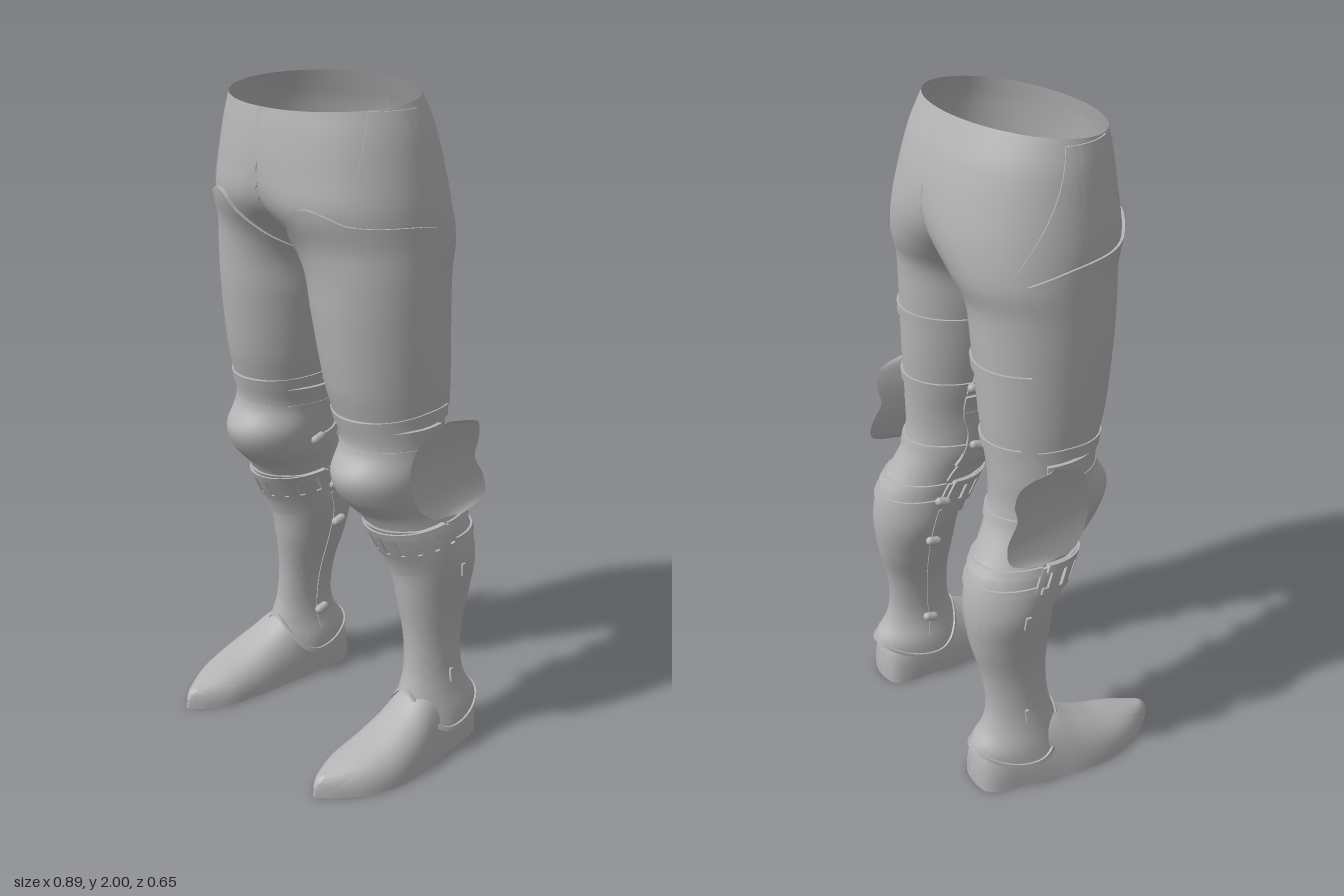
import * as THREE from 'three';
import { toCreasedNormals } from 'three/addons/utils/BufferGeometryUtils.js';

const RAD = Math.PI / 180;
const steel = new THREE.MeshStandardMaterial({ color: 0xb4b4b4, side: THREE.DoubleSide });
steel.name = 'plain steel';

// Smooth lookup in rows sorted by their first column, returning column c
function look(rows, t, c = 1) {
  const n = rows.length - 1;
  if (t <= rows[0][0]) return rows[0][c];
  if (t >= rows[n][0]) return rows[n][c];
  let i = 0;
  while (t > rows[i + 1][0]) i++;
  const slope = (k) => {
    const a = rows[Math.max(k - 1, 0)], b = rows[Math.min(k + 1, n)];
    return (b[c] - a[c]) / (b[0] - a[0]);
  };
  const h = rows[i + 1][0] - rows[i][0], s = (t - rows[i][0]) / h, s2 = s * s, s3 = s2 * s;
  return (2 * s3 - 3 * s2 + 1) * rows[i][c] + (s3 - 2 * s2 + s) * h * slope(i)
    + (3 * s2 - 2 * s3) * rows[i + 1][c] + (s3 - s2) * h * slope(i + 1);
}

// One half of the body: height, inner x, outer x, front z, back z
const BODY = [
  [0.08, 0.205, 0.42, 0.02, -0.305], [0.14, 0.212, 0.408, -0.012, -0.315],
  [0.2, 0.23, 0.39, -0.037, -0.277], [0.27, 0.237, 0.375, -0.056, -0.26],
  [0.38, 0.225, 0.368, -0.06, -0.268], [0.5, 0.192, 0.38, -0.045, -0.298],
  [0.62, 0.16, 0.4, -0.025, -0.31], [0.73, 0.152, 0.392, 0.03, -0.29],
  [0.81, 0.14, 0.375, 0.07, -0.245], [0.87, 0.122, 0.372, 0.125, -0.215],
  [0.94, 0.113, 0.374, 0.15, -0.2], [1.02, 0.11, 0.372, 0.11, -0.2],
  [1.1, 0.092, 0.37, 0.122, -0.205], [1.2, 0.07, 0.374, 0.148, -0.212],
  [1.4, 0.033, 0.378, 0.175, -0.22], [1.52, 0.006, 0.378, 0.185, -0.228],
  [1.6, -0.06, 0.377, 0.2, -0.255], [1.7, -0.2, 0.373, 0.248, -0.272],
  [1.8, -0.3, 0.36, 0.253, -0.265], [1.9, -0.33, 0.343, 0.243, -0.24],
  [1.96, -0.325, 0.325, 0.232, -0.215], [2.0, -0.31, 0.31, 0.228, -0.197],
];

// Point on the body; a = 0 faces front and a = 90 degrees faces outward
function onBody(y, a, off = 0) {
  const [xi, xo, zf, zb] = [1, 2, 3, 4].map((c) => look(BODY, y, c));
  const x = (xi + xo) / 2 + ((xo - xi) / 2 + off) * Math.sin(a * RAD);
  const z = (zf + zb) / 2 + ((zf - zb) / 2 + off) * Math.cos(a * RAD);
  return new THREE.Vector3(Math.max(x, 0), y, z);
}

// Grid surface from fn(u, v); triangles lying in the middle plane are left out
function grid(name, nu, nv, fn) {
  const pos = [], idx = [];
  for (let j = 0; j <= nv; j++)
    for (let i = 0; i <= nu; i++) pos.push(...fn(i / nu, j / nv, i, j).toArray());
  const tri = (...t) => { if (t.some((k) => pos[k * 3] > 1e-6)) idx.push(...t); };
  for (let j = 0; j < nv; j++)
    for (let i = 0; i < nu; i++) {
      const a = j * (nu + 1) + i, b = a + nu + 1;
      tri(a, b, a + 1);
      tri(b, b + 1, a + 1);
    }
  const g = new THREE.BufferGeometry();
  g.setAttribute('position', new THREE.Float32BufferAttribute(pos, 3));
  g.setIndex(idx);
  const mesh = new THREE.Mesh(toCreasedNormals(g, 40 * RAD), steel);
  mesh.name = name;
  return mesh;
}

const val = (f, t) => (typeof f === 'function' ? f(t) : f);

// Plate lying on the body, with its rim turned in to the surface
function plate(name, a0, a1, top, bottom, off, nu = 32, nv = 10) {
  return grid(name, nu + 2, nv + 2, (_, __, i, j) => {
    const u = THREE.MathUtils.clamp((i - 1) / nu, 0, 1), v = THREE.MathUtils.clamp((j - 1) / nv, 0, 1);
    const rim = i === 0 || j === 0 || i === nu + 2 || j === nv + 2;
    const a = THREE.MathUtils.lerp(val(a0, v), val(a1, v), u);
    return onBody(THREE.MathUtils.lerp(val(top, a), val(bottom, a), v), a, rim ? 0 : off);
  });
}

// Shoe sections: z, inner x, outer x, height
const FOOT = [
  [-0.31, 0.285, 0.325, 0.05], [-0.3, 0.245, 0.36, 0.12], [-0.26, 0.222, 0.385, 0.16],
  [-0.18, 0.217, 0.4, 0.2], [-0.08, 0.218, 0.42, 0.21], [0, 0.222, 0.438, 0.165],
  [0.1, 0.226, 0.442, 0.12], [0.2, 0.238, 0.415, 0.09], [0.28, 0.272, 0.365, 0.066],
  [0.31, 0.295, 0.338, 0.055], [0.325, 0.31, 0.322, 0.03],
];

function foot() {
  const g = new THREE.Group();
  g.name = 'foot';
  const at = (v, fx, fy) => {
    const z = -0.31 + 0.635 * v, x0 = look(FOOT, z, 1), x1 = look(FOOT, z, 2);
    return new THREE.Vector3((x0 + x1) / 2 + fx * (x1 - x0) / 2, Math.max(fy * look(FOOT, z, 3), 0), z);
  };
  const end = (v) => 0.5 - 0.5 * Math.cos(Math.PI * v);
  g.add(grid('shoe', 24, 40, (u, v) => {
    const t = Math.PI * u, c = Math.cos(t);
    return at(end(v), Math.sign(c) * Math.abs(c) ** 0.8, Math.sin(t) ** 0.8);
  }));
  g.add(grid('sole', 4, 40, (u, v) => at(end(v), 2 * u - 1, 0)));
  for (const v of [0, 1])
    g.add(grid(v ? 'toeCap' : 'heelCap', 12, 1, (u, w) => {
      const t = Math.PI * u;
      return at(v, Math.cos(t), Math.sin(t) * w);
    }));
  return g;
}

function buckle(y, a) {
  const m = new THREE.Mesh(new THREE.CapsuleGeometry(0.014, 0.025, 4, 10), steel);
  m.name = 'buckle';
  m.position.copy(onBody(y, a, 0.018));
  m.rotation.set(0, a * RAD, Math.PI / 2.4);
  return m;
}

function half() {
  const g = new THREE.Group();
  const c2 = (a) => Math.cos(a * RAD) ** 2;
  const front = (a) => Math.max(Math.cos(a * RAD), 0);

  // Hollow shell from the tilted waist rim to the flared ankle edge
  const waist = (a) => 1.978 - 0.022 * Math.cos(a * RAD);
  const ankle = (a) => 0.085 + (Math.cos(a * RAD) > 0 ? 0.125 : 0.055) * c2(a);
  g.add(grid('hipAndLegShell', 72, 110, (u, v) => {
    const a = 360 * u;
    return onBody(THREE.MathUtils.lerp(ankle(a), waist(a), v), a);
  }));
  g.add(plate('ankleRim', 0, 360, (a) => ankle(a) + 0.012, ankle, 0.006, 64, 1));

  // Hip and thigh plates
  g.add(plate('hipPlate', (v) => 62 - 20 * v, (v) => 100 + 35 * v * v, 1.965, 1.62, 0.005));
  const thighTop = [[-100, 1.49], [-55, 1.55], [-25, 1.6], [0, 1.66], [12, 1.7], [22, 1.712],
    [32, 1.695], [42, 1.675], [90, 1.662], [125, 1.62]];
  g.add(plate('thighPlate', -100, (v) => 122 + 14 * v * v, (a) => look(thighTop, a), 1.12, 0.012, 60, 24));
  g.add(plate('lowerThighBand', -105, 120, (a) => 1.135 - 0.02 * front(a), (a) => 1.1 - 0.02 * front(a), 0.017, 40, 3));
  g.add(plate('kneeUpperBand', -105, 110, 1.085, 1.02, 0.012, 40, 4));

  // Knee cap with its bands and side wing
  g.add(plate('kneeCap', -105, 105, 1.03, (a) => 0.84 - 0.02 * front(a), 0.014, 40, 16));
  g.add(plate('kneeLowerBand', -100, 100, (a) => 0.845 - 0.02 * front(a), 0.785, 0.009, 40, 4));
  const wingBack = [[0.81, -0.15], [0.83, -0.235], [0.89, -0.25], [0.96, -0.215], [1.02, -0.225], [1.08, -0.2], [1.1, -0.12]];
  const wingFront = [[0.81, -0.05], [0.85, 0], [0.95, 0.03], [1.05, 0], [1.1, -0.09]];
  g.add(grid('kneeWing', 12, 24, (u, v) => {
    const y = 0.81 + 0.29 * v, bow = ((y - 0.96) / 0.15) ** 2;
    const z = THREE.MathUtils.lerp(look(wingFront, y), look(wingBack, y), u);
    return new THREE.Vector3(0.386 + bow * 0.024 + 0.012 * u * u, y, z);
  }));

  // Pointed shin plate and ribbed band
  g.add(plate('shinPoint', -95, 95, 0.77, (a) => 0.7 - 0.1 * front(a), 0.009, 40, 8));
  const bandTop = (a) => 0.78 - 0.02 * front(a), bandBase = (a) => 0.7 - 0.035 * front(a);
  g.add(plate('ribBandTop', -90, 90, bandTop, (a) => bandTop(a) - 0.02, 0.017, 40, 2));
  g.add(plate('ribBandBottom', -90, 90, (a) => bandBase(a) + 0.018, bandBase, 0.017, 40, 2));
  for (let i = 0; i < 9; i++) {
    const a = -90 + i * 20;
    g.add(plate('rib', a, a + 14, (t) => bandTop(t) - 0.02, (t) => bandBase(t) + 0.018, 0.017, 4, 2));
  }

  // Straps round the back, buckled on the inside
  for (const [y, w, a0] of [[1.36, 0.03, 118], [1.135, 0.03, 118], [0.91, 0.028, 100], [0.775, 0.025, 95], [0.72, 0.02, 95]])
    g.add(plate('strap', a0, 262, y, y - w, 0.007, 28, 1));
  for (const [y, a] of [[1.31, 262], [1.12, 262], [0.91, 265], [0.72, 265], [0.575, 268], [0.235, 268]])
    g.add(buckle(y, a));

  // Shin seam and hinges
  g.add(plate('shinSeam', 268, 272, 0.68, 0.16, 0.004, 1, 16));
  for (const y of [0.61, 0.25]) g.add(plate('hinge', 92, 98, y + 0.02, y - 0.02, 0.008, 2, 2));
  g.add(foot());
  return g;
}

export function createModel() {
  const model = new THREE.Group();
  model.name = 'legArmour';
  const left = half(), right = half();
  left.name = 'leftHalf';
  right.name = 'rightHalf';
  right.scale.x = -1;
  model.add(left, right);
  return model;
}
